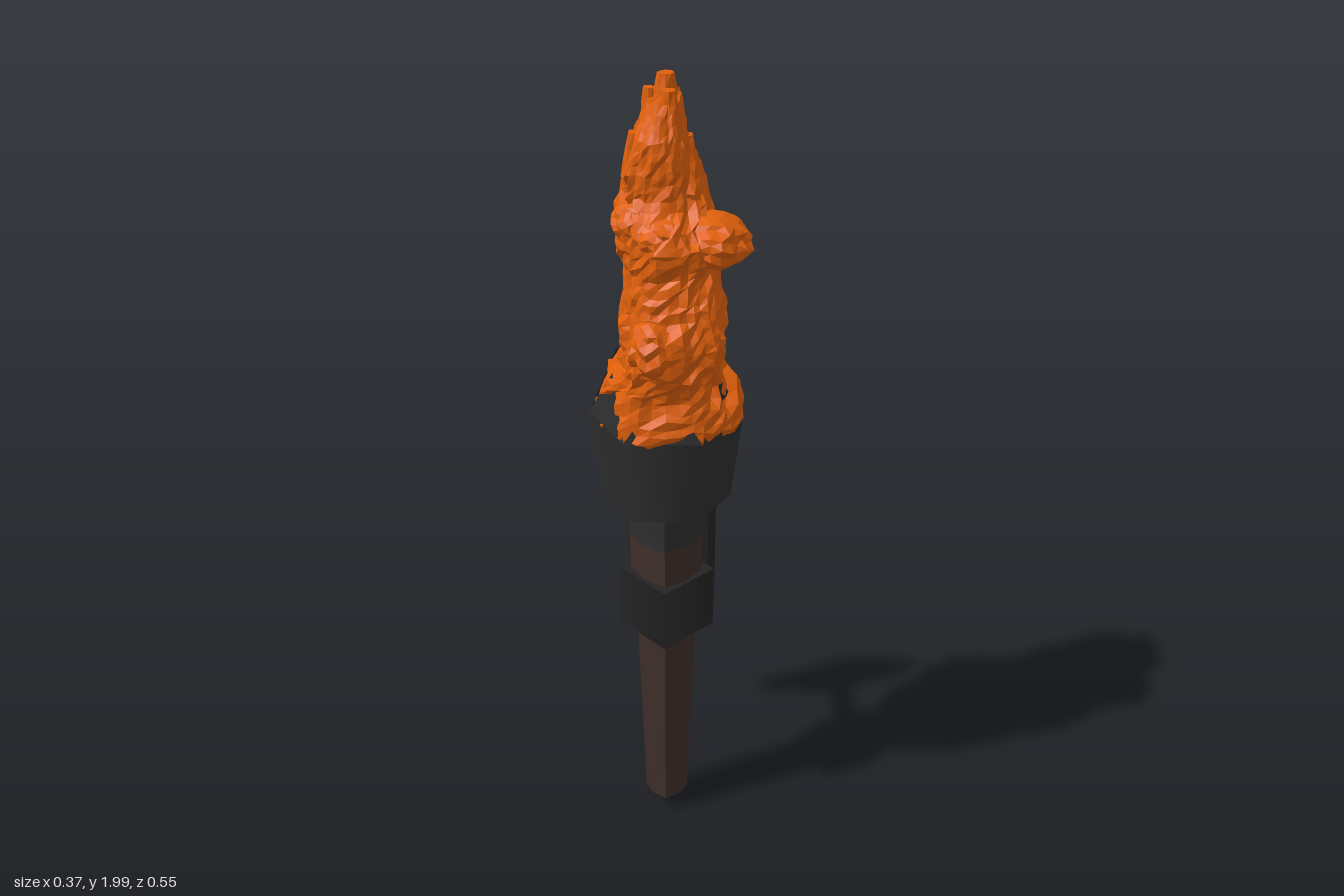
import * as THREE from 'three';

const CX = -0.01, CZ = 0.05; // axis of the torch
const mat = (name, color, side = THREE.FrontSide) => {
  const m = new THREE.MeshStandardMaterial({ color, side });
  m.name = name;
  return m;
};

// cheap seeded lattice hash in 0..1
const hash = (a, b) => {
  const s = Math.sin(a * 127.1 + b * 311.7 + 4.3) * 43758.5453;
  return s - Math.floor(s);
};

// flame outline: y, x min, x max, z min, z max
const FLAME = [
  [1.17, -0.15, 0.135, -0.125, 0.195],
  [1.20, -0.168, 0.16, -0.15, 0.22],
  [1.25, -0.165, 0.16, -0.15, 0.215],
  [1.30, -0.15, 0.14, -0.115, 0.205],
  [1.35, -0.115, 0.12, -0.095, 0.225],
  [1.44, -0.11, 0.135, -0.105, 0.255],
  [1.52, -0.105, 0.11, -0.09, 0.235],
  [1.60, -0.11, 0.115, -0.095, 0.21],
  [1.66, -0.11, 0.12, -0.08, 0.23],
  [1.70, -0.118, 0.09, -0.075, 0.22],
  [1.75, -0.11, 0.078, -0.09, 0.175],
  [1.82, -0.095, 0.055, -0.085, 0.18],
  [1.88, -0.075, 0.035, -0.04, 0.17],
  [1.95, -0.05, 0.02, -0.02, 0.135],
];

function outlineAt(y) {
  let i = 0;
  while (i < FLAME.length - 2 && FLAME[i + 1][0] < y) i++;
  const a = FLAME[i], b = FLAME[i + 1], t = (y - a[0]) / (b[0] - a[0]);
  return a.map((v, k) => v + (b[k] - v) * t);
}

// slightly squared circle
const squared = (v) => Math.sign(v) * Math.pow(Math.abs(v), 0.8);

// stacked ragged rings, closed at both ends
function flameGeometry(rings = 44, sides = 40) {
  const pos = [], idx = [];
  for (let r = 0; r <= rings; r++) {
    const y = 1.17 + 0.78 * r / rings;
    const [, x0, x1, z0, z1] = outlineAt(y);
    for (let s = 0; s < sides; s++) {
      const a = s / sides * Math.PI * 2;
      // coarse upright shelves plus fine chips
      const k = 0.86 + 0.17 * hash(Math.floor(s / 3), Math.floor((r + s % 4) / 4)) + 0.06 * hash(s, r + 50);
      const lift = (hash(s + 9, r) - 0.5) * 0.012;
      pos.push((x0 + x1) / 2 + squared(Math.cos(a)) * k * (x1 - x0) / 2, y + lift,
        (z0 + z1) / 2 + squared(Math.sin(a)) * k * (z1 - z0) / 2);
      if (r < rings) {
        const p = r * sides + s, q = r * sides + (s + 1) % sides;
        idx.push(p, p + sides, q, q, p + sides, q + sides);
      }
    }
  }
  const low = pos.length / 3;
  pos.push(CX, 1.17, CZ, -0.01, 1.96, 0.06);
  for (let s = 0; s < sides; s++) {
    const n = (s + 1) % sides, t = rings * sides;
    idx.push(low, s, n, low + 1, t + n, t + s);
  }
  const g = new THREE.BufferGeometry();
  g.setAttribute('position', new THREE.Float32BufferAttribute(pos, 3));
  g.setIndex(idx);
  const flat = g.toNonIndexed();
  flat.computeVertexNormals();
  return flat;
}

// small ragged lump or tongue
function chippedGeometry(base) {
  const g = base.index ? base.toNonIndexed() : base, p = g.attributes.position;
  for (let i = 0; i < p.count; i++) {
    const x = p.getX(i), y = p.getY(i), z = p.getZ(i);
    const k = 0.85 + 0.3 * hash(Math.round(x * 500) + Math.round(y * 700), Math.round(z * 500));
    p.setXYZ(i, x * k, y, z * k);
  }
  g.computeVertexNormals();
  return g;
}

// eight-sided lathe whose diagonal corners are drawn in
function shaftGeometry(profile) {
  const g = new THREE.LatheGeometry(profile.map(([r, y]) => new THREE.Vector2(r, y)), 8);
  const p = g.attributes.position;
  for (let i = 0; i < p.count; i++) {
    const x = p.getX(i), z = p.getZ(i);
    if (Math.abs(x * z) > 1e-6) p.setXYZ(i, x * 0.85, p.getY(i), z * 0.85);
  }
  g.computeVertexNormals();
  return g;
}

export function createModel() {
  const model = new THREE.Group();
  const wood = mat('dark wood', 0x40302b);
  const iron = mat('iron', 0x2f2f2f, THREE.DoubleSide);
  const blackIron = mat('black iron', 0x242424);
  const fire = mat('flame orange', 0xe0600c, THREE.DoubleSide);
  const add = (name, geo, material, x = CX, y = 0, z = CZ) => {
    const m = new THREE.Mesh(geo, material);
    m.name = name;
    m.position.set(x, y, z);
    model.add(m);
    return m;
  };
  const v = (r, y) => new THREE.Vector2(r, y);

  // tapered shaft with a blunt point, wider above the clamp
  add('handle', shaftGeometry([[0, 0.008], [0.012, 0.01], [0.055, 0.05], [0.073, 0.6], [0.088, 0.77], [0.09, 0.87]]), wood);
  add('collar', shaftGeometry([[0.091, 0.865], [0.095, 0.96]]), iron);

  // six-sided cup, with a vertex on either side
  add('cupWall', new THREE.LatheGeometry([v(0.155, 0.98), v(0.18, 1.2)], 6, Math.PI / 2), iron);
  add('cupBase', new THREE.LatheGeometry([v(0, 0.94), v(0.09, 0.945), v(0.155, 0.98)], 6, Math.PI / 2), iron);

  // one pointed tooth above each cup face
  const teeth = [];
  for (let i = 0; i < 6; i++) {
    const a = i * Math.PI / 3, corner = (t) => [Math.cos(t) * 0.18, 1.2, Math.sin(t) * 0.18];
    const m = a + Math.PI / 6;
    teeth.push(...corner(a), Math.cos(m) * 0.137, 1.335, Math.sin(m) * 0.137, ...corner(a + Math.PI / 3));
  }
  const teethGeo = new THREE.BufferGeometry();
  teethGeo.setAttribute('position', new THREE.Float32BufferAttribute(teeth, 3));
  teethGeo.computeVertexNormals();
  add('cupTeeth', teethGeo, iron);

  // wall bracket: clamp set cornerwise, arm and bevelled plate
  add('clamp', new THREE.CylinderGeometry(0.118, 0.118, 0.165, 4), blackIron, CX, 0.68, 0.048);
  const arm = add('bracketArm', new THREE.CylinderGeometry(0.025, 0.025, 0.18, 12), blackIron, CX, 0.68, -0.15);
  arm.rotation.x = Math.PI / 2;
  const plate = new THREE.BoxGeometry(0.236, 0.356, 0.046), p = plate.attributes.position;
  for (let i = 0; i < p.count; i++) {
    if (p.getZ(i) > 0) p.setXY(i, p.getX(i) * 0.84, p.getY(i) * 0.86);
  }
  plate.computeVertexNormals();
  add('wallPlate', plate, blackIron, CX, 0.678, -0.253);

  // flame body, side lumps and tongues
  add('flame', flameGeometry(), fire, 0, 0, 0);
  const lumps = [[0.09, 1.66, 0.125, 0.085, 0.06], [-0.03, 1.44, 0.21, 0.055, 0.07], [-0.07, 1.7, 0.13, 0.05, 0.05],
    [0.07, 1.42, 0.0, 0.06, 0.06], [-0.01, 1.68, 0.17, 0.06, 0.05]];
  for (const [x, y, z, r, h] of lumps) {
    const g = new THREE.IcosahedronGeometry(1, 3).scale(r, h, r);
    add('flameLump', chippedGeometry(g), fire, x, y, z);
  }
  const tongues = [[-0.01, 2.0, 0.06, 0.042], [-0.045, 1.975, 0.08, 0.028], [-0.005, 1.98, -0.005, 0.032],
    [0, 1.98, 0.12, 0.036], [0.035, 1.87, 0.06, 0.035], [-0.075, 1.88, 0.08, 0.035], [-0.01, 1.87, -0.055, 0.035]];
  for (const [x, top, z, r] of tongues) {
    const g = new THREE.CylinderGeometry(r * 0.4, r, 0.16, 8, 5);
    add('flameTongue', chippedGeometry(g), fire, x, top - 0.08, z);
  }
  return model;
}
